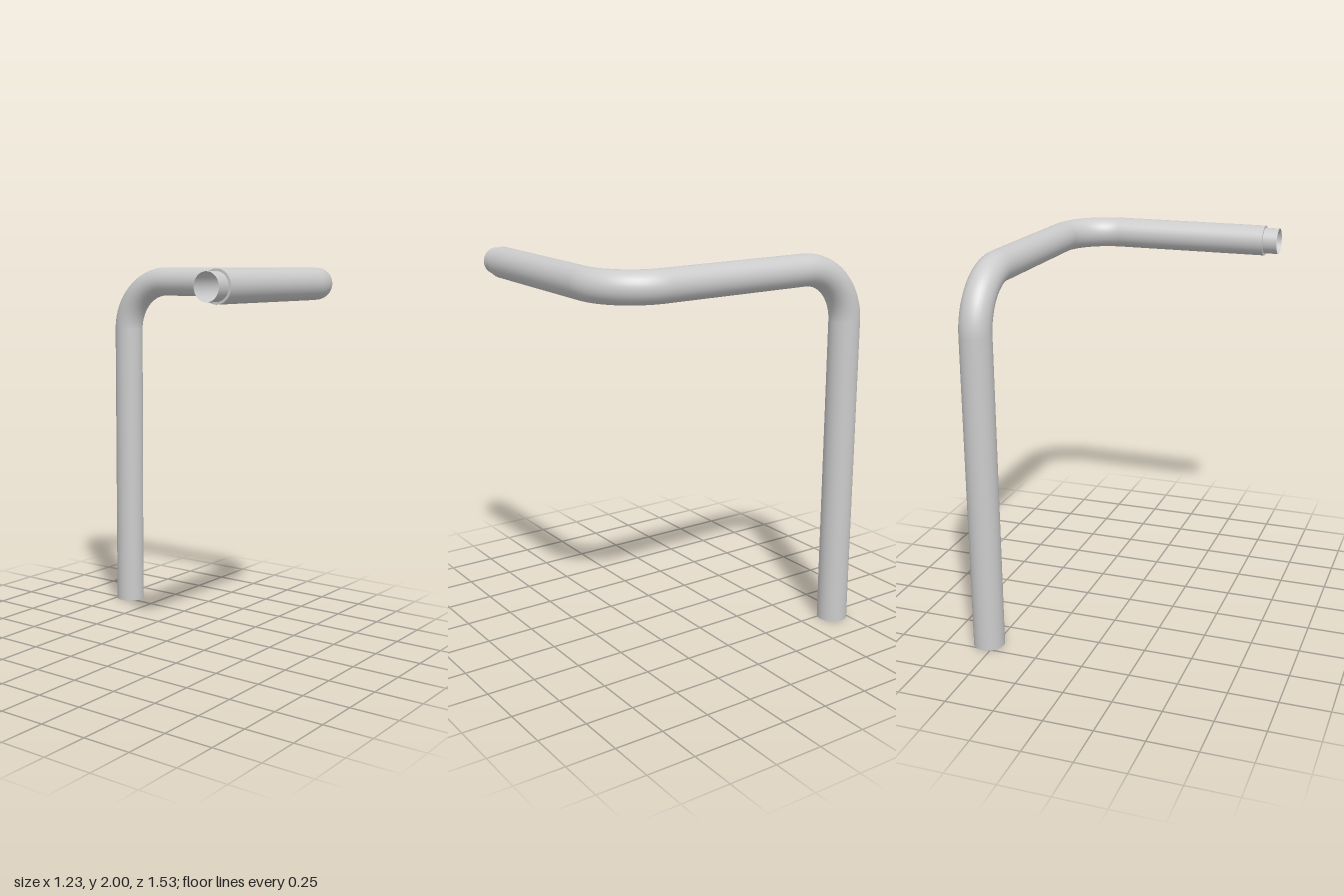
import * as THREE from 'three';

const X = 0.535, Y = 1.92, Z = 0.685;   // pipe centre line
const OUTER = 0.08, BORE = 0.068, SIDES = 32;
const SHOULDER = -0.54, TIP = -0.617;

// Quarter circle that rounds a corner between two perpendicular directions
class Bend extends THREE.Curve {
  constructor(corner, dirIn, dirOut, radius) {
    super();
    Object.assign(this, { dirIn, dirOut, radius });
    this.centre = corner.clone().addScaledVector(dirIn, -radius).addScaledVector(dirOut, radius);
  }
  getPoint(t, target = new THREE.Vector3()) {
    const a = t * Math.PI / 2;
    return target.copy(this.centre)
      .addScaledVector(this.dirOut, -this.radius * Math.cos(a))
      .addScaledVector(this.dirIn, this.radius * Math.sin(a));
  }
}

export function createModel() {
  const group = new THREE.Group();
  const material = new THREE.MeshStandardMaterial({ color: 0xcccccc });
  const thin = new THREE.MeshStandardMaterial({ color: 0xcccccc, side: THREE.DoubleSide });
  const v = (x, y, z) => new THREE.Vector3(x, y, z);

  const add = (name, geometry, mat) => {
    const mesh = new THREE.Mesh(geometry, mat);
    mesh.name = name;
    group.add(mesh);
    return mesh;
  };

  // Centre line: up the post, forward along the arm, then across to the right
  const up = v(0, 1, 0), forward = v(0, 0, 1), across = v(-1, 0, 0);
  const rearBend = new Bend(v(X, Y, -Z), up, forward, 0.28);
  const frontBend = new Bend(v(X, Y, Z), forward, across, 0.26);
  const line = (a, b) => new THREE.LineCurve3(a, b);
  const outlet = v(SHOULDER, Y, Z);
  const pieces = [
    ['post', line(v(X, 0, -Z), rearBend.getPoint(0)), 1],
    ['rearBend', rearBend, 16],
    ['sideArm', line(rearBend.getPoint(1), frontBend.getPoint(0)), 1],
    ['frontBend', frontBend, 16],
    ['frontArm', line(frontBend.getPoint(1), outlet), 1],
  ];

  // Outer wall and bore of every piece
  for (const [name, curve, segments] of pieces) {
    add(name, new THREE.TubeGeometry(curve, segments, OUTER, SIDES), material);
    add(name + 'Bore', new THREE.TubeGeometry(curve, segments, BORE, SIDES), thin);
  }

  // Narrow open spigot continuing the bore
  add('spigot', new THREE.TubeGeometry(line(outlet, v(TIP, Y, Z)), 1, BORE, SIDES), thin);

  // Flat rims: foot of the post and shoulder behind the spigot
  const rim = () => new THREE.RingGeometry(BORE, OUTER, SIDES);
  const foot = add('footRim', rim(), thin);
  foot.rotation.x = Math.PI / 2;
  foot.position.set(X, 0, -Z);
  const shoulder = add('shoulderRim', rim(), thin);
  shoulder.rotation.y = -Math.PI / 2;
  shoulder.position.copy(outlet);

  return group;
}
